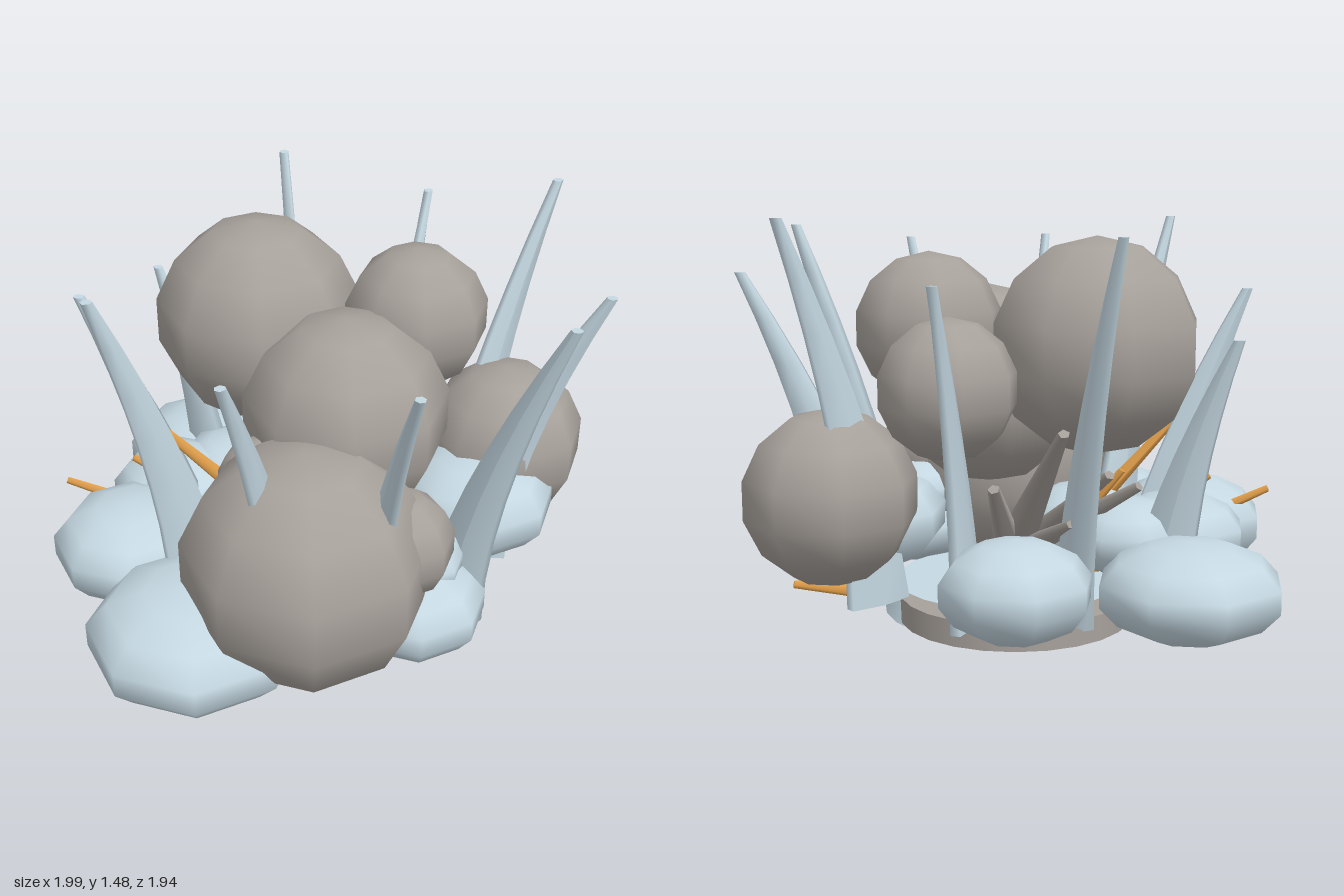
import * as THREE from 'three';

export function createModel() {
  const model = new THREE.Group();
  const mat = (name, color) => {
    const m = new THREE.MeshStandardMaterial({ color });
    m.name = name;
    return m;
  };
  const stone = mat('warm grey', 0xa7a19b);
  const ice = mat('pale blue', 0xc5d8e2);
  const amber = mat('orange', 0xeaa54e);

  const add = (name, geometry, material) => {
    const mesh = new THREE.Mesh(geometry, material);
    mesh.name = name;
    model.add(mesh);
    return mesh;
  };

  // Low-sided ball with its own height radius
  const ball = (name, material, x, y, z, r, ry) => {
    const mesh = add(name, new THREE.SphereGeometry(1, 8, 7), material);
    mesh.scale.set(r * 1.02, ry, r * 1.02);
    mesh.position.set(x, y, z);
  };

  // Heap of round boulders: x, y, z, radius
  [
    [-0.09, 0.51, 0.54, 0.43],
    [-0.215, 1.035, -0.245, 0.37],
    [0.07, 0.86, 0.16, 0.36],
    [0.34, 1.1, -0.09, 0.255],
    [0.335, 0.92, -0.365, 0.235],
    [0.7, 0.535, -0.155, 0.3],
    [0.22, 0.565, 0.53, 0.19],
    [-0.24, 0.7, 0.3, 0.14],
  ].forEach(([x, y, z, r]) => ball('boulder', stone, x, y, z, r, r * 1.02));

  // Flattened cushions around the foot: x, y, z, radius, height radius
  [
    [-0.475, 0.255, 0.565, 0.375, 0.2],
    [-0.7, 0.305, 0.11, 0.295, 0.18],
    [-0.54, 0.34, -0.2, 0.25, 0.15],
    [-0.43, 0.25, -0.61, 0.32, 0.17],
    [0.2, 0.33, -0.72, 0.25, 0.165],
    [0.56, 0.41, 0.05, 0.3, 0.185],
    [0.28, 0.285, 0.5, 0.255, 0.165],
    [0.36, 0.28, 0.36, 0.2, 0.12],
    [0.28, 0.42, 0.42, 0.19, 0.12],
    [-0.33, 0.36, -0.28, 0.22, 0.14],
    [-0.27, 0.33, 0.05, 0.24, 0.16],
  ].forEach(([x, y, z, r, ry]) => ball('cushion', ice, x, y, z, r, ry));

  // Overlapping base discs, the blue one flaring downwards
  add('blueBase', new THREE.CylinderGeometry(0.42, 0.46, 0.105, 24), ice).position.set(0.03, 0.11, 0);
  add('greyBase', new THREE.CylinderGeometry(0.41, 0.41, 0.09, 24), stone).position.set(0.055, 0.117, -0.17);

  // Curved blade, wide along its outward direction and thin across it
  const spike = (bx, bz, tx, ty, tz) => {
    const g = new THREE.CylinderGeometry(1, 1, 1, 6, 7);
    const p = g.attributes.position;
    const out = Math.atan2(tz - bz, tx - bx);
    const c = Math.cos(out), s = Math.sin(out);
    for (let i = 0; i < p.count; i++) {
      const t = p.getY(i) + 0.5;
      const bend = Math.pow(t, 1.5);
      const u = p.getX(i) * THREE.MathUtils.lerp(0.14, 0.02, t);
      const v = p.getZ(i) * THREE.MathUtils.lerp(0.035, 0.018, t);
      p.setXYZ(i,
        bx + (tx - bx) * bend + u * c - v * s,
        0.16 + (ty - 0.16) * t,
        bz + (tz - bz) * bend + u * s + v * c);
    }
    g.computeVertexNormals();
    add('spike', g, ice);
  };
  // Base x, z then tip x, y, z
  [
    [0.44, 0.39, 0.71, 1.43, 0.68],
    [0.13, 0.5, 0.21, 1.37, 0.945],
    [-0.16, 0.48, -0.35, 1.38, 0.86],
    [-0.46, 0.27, -0.75, 1.46, 0.45],
    [-0.51, -0.05, -0.84, 1.21, -0.1],
    [-0.4, -0.41, -0.59, 1.08, -0.6],
    [-0.04, -0.55, -0.09, 1.43, -0.87],
    [0.31, -0.51, 0.47, 1.29, -0.78],
    [0.55, -0.2, 0.88, 1.48, -0.38],
    [0.57, 0.07, 0.96, 1.28, 0.18],
  ].forEach((a) => spike(...a));

  // Straight tapered shard from one point to another
  const shard = (name, material, from, to, r0, r1, sides, flat) => {
    const a = new THREE.Vector3(...from), b = new THREE.Vector3(...to);
    const dir = b.clone().sub(a);
    const mesh = add(name, new THREE.CylinderGeometry(r1, r0, dir.length(), sides), material);
    mesh.scale.z = flat;
    mesh.position.copy(a).add(b).multiplyScalar(0.5);
    mesh.quaternion.setFromUnitVectors(new THREE.Vector3(0, 1, 0), dir.normalize());
  };

  // Grey shards leaning out of the back
  [
    [0.06, 0.83, -0.77, 0.085],
    [-0.14, 0.66, -0.62, 0.06],
    [0.24, 0.63, -0.6, 0.06],
    [-0.3, 0.58, -0.46, 0.06],
    [-0.02, 0.5, -0.6, 0.06],
  ].forEach(([x, y, z, r]) => shard('greyShard', stone, [0.03, 0.25, -0.02], [x, y, z], r, 0.02, 5, 0.8));

  // Orange slivers spreading from the centre
  [
    [0.82, 0.19, 0, 0.06],
    [-0.95, 0.455, -0.09, 0.05],
    [-0.7, 0.525, -0.12, 0.05],
    [-0.635, 0.765, -0.02, 0.05],
    [-0.33, 0.58, -0.2, 0.05],
  ].forEach(([x, y, z, r]) => shard('orangeSliver', amber, [0.05, 0.06, 0], [x, y, z], r, 0.014, 4, 0.6));
  shard('orangeSliver', amber, [0.3, 0.68, 0.01], [0.41, 0.84, 0.01], 0.03, 0.015, 4, 0.6);
  shard('orangeSliver', amber, [0.06, 0.045, 0], [-0.25, 0.065, 0.02], 0.045, 0.004, 4, 1);

  // Arc of tiny thorns under the base
  for (let i = 0; i < 14; i++) {
    const a = i * 0.25 + 0.4;
    const c = Math.cos(a), s = Math.sin(a);
    shard('thorn', stone,
      [0.08 + 0.13 * c, 0.06, 0.13 * s],
      [0.08 + 0.22 * c - 0.06 * s, 0.05, 0.22 * s + 0.06 * c], 0.01, 0.004, 4, 1);
  }
  return model;
}
